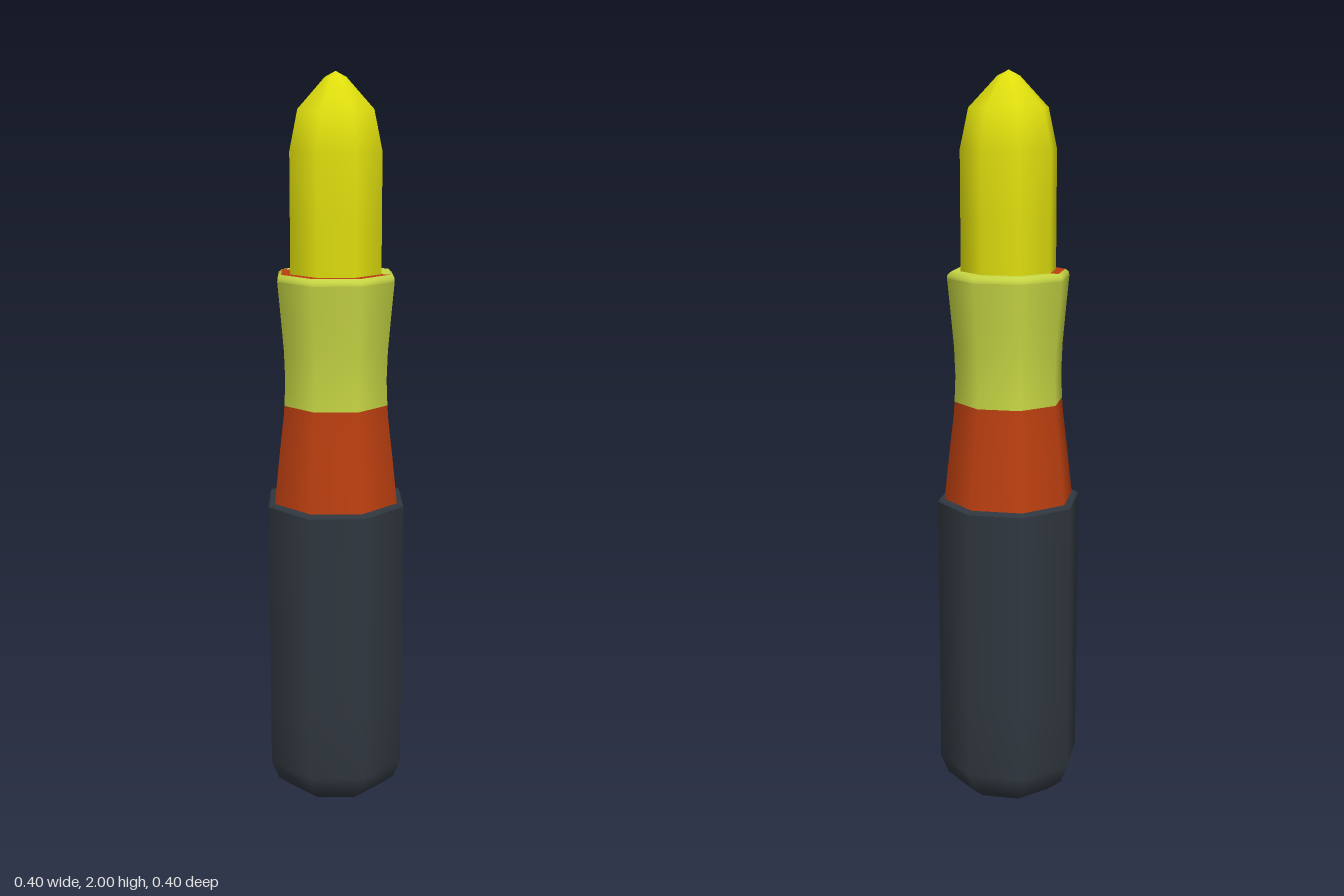
import * as THREE from 'three';

const SIDES = 8;

function material(name, color) {
  const m = new THREE.MeshStandardMaterial({ color });
  m.name = name;
  return m;
}

// Octagonal turned part; profile is [radius, height] running up the outside
function turned(name, mat, profile, start = 0, length = Math.PI * 2) {
  const points = profile.map(([r, y]) => new THREE.Vector2(r, y));
  const segments = Math.round(SIDES * length / (Math.PI * 2));
  const mesh = new THREE.Mesh(new THREE.LatheGeometry(points, segments, start, length), mat);
  mesh.name = name;
  return mesh;
}

export function createModel() {
  const model = new THREE.Group();
  model.name = 'model';

  const dark = material('dark slate', 0x30373f);
  const orange = material('burnt orange', 0xbb3f10);
  const lime = material('lime', 0xc6d644);
  const yellow = material('yellow', 0xdfde0e);

  // Rounded-bottom casing and its bevelled top edge
  model.add(turned('casing', dark, [
    [0, 0], [0.135, 0], [0.178, 0.035], [0.199, 0.09], [0.199, 0.3], [0.199, 0.85],
  ]));
  model.add(turned('casingTop', dark, [[0.199, 0.85], [0.194, 0.858], [0.16, 0.858]]));

  // Tapered collar below the flared sleeve
  model.add(turned('collar', orange, [[0.181, 0.85], [0.166, 0.985], [0.153, 1.09], [0.15, 1.13]]));
  model.add(turned('sleeve', lime, [
    [0.15, 1.13], [0.147, 1.2], [0.15, 1.28], [0.158, 1.37], [0.167, 1.465],
  ]));
  model.add(turned('sleeveLip', lime, [[0.167, 1.465], [0.166, 1.475], [0.156, 1.483]]));

  // Flat rim, two-tone front and back
  const rim = [[0.156, 1.483], [0.12, 1.483]];
  model.add(turned('rimFront', orange, rim, -Math.PI / 2, Math.PI));
  model.add(turned('rimBack', lime, rim, Math.PI / 2, Math.PI));

  // Inner stick with pointed tip
  model.add(turned('stick', yellow, [
    [0.13, 1.47], [0.13, 1.62], [0.13, 1.8], [0.107, 1.905], [0.03, 1.985], [0, 2],
  ]));

  return model;
}
